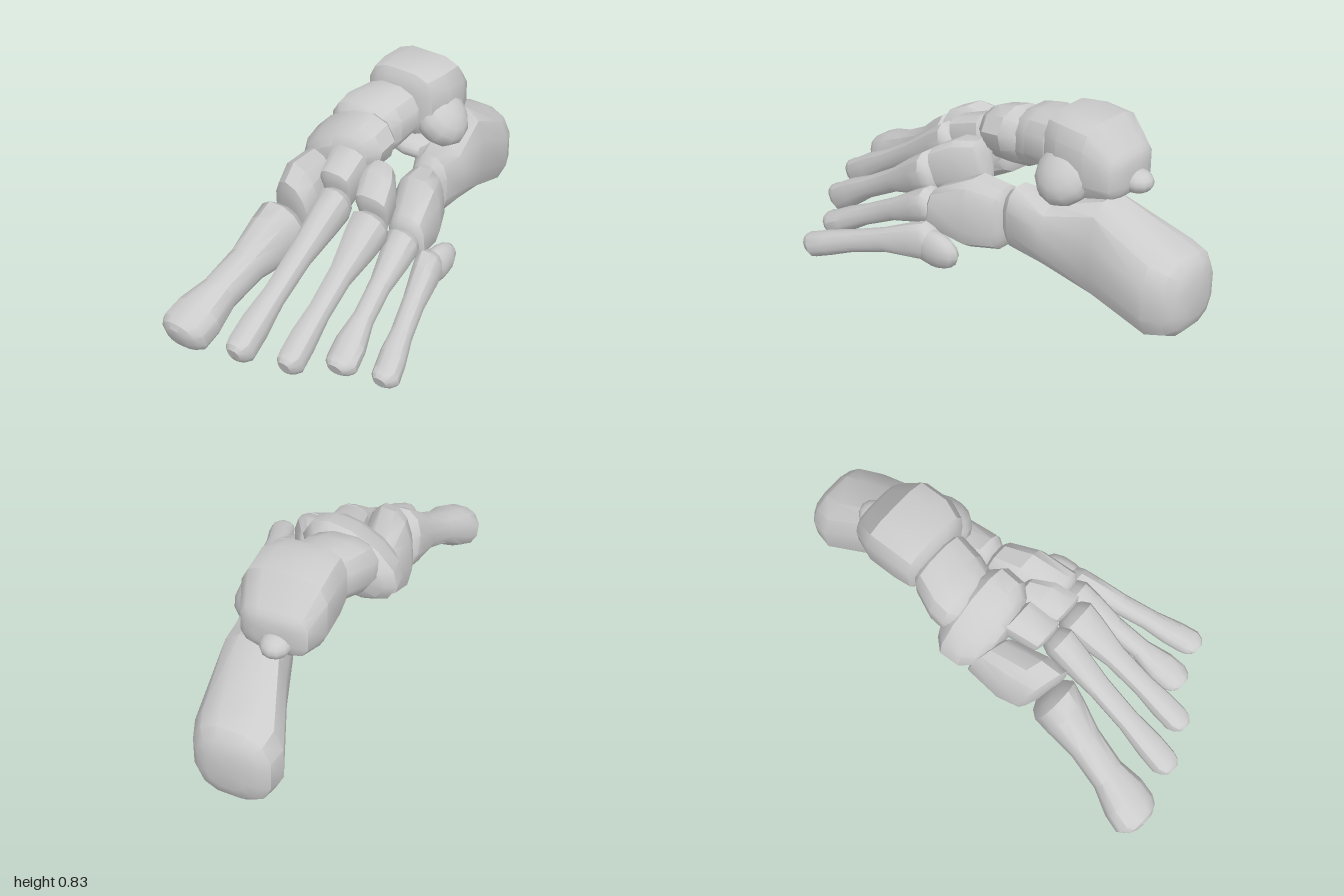
import * as THREE from 'three';
import { toCreasedNormals } from 'three/addons/utils/BufferGeometryUtils.js';

const material = new THREE.MeshStandardMaterial({ color: 0xcccccc });
const { lerp, smoothstep } = THREE.MathUtils;
const SIDES = 12;

// Lofts a bone through upright rings [x, y, z, halfWidth, halfHeight], ordered by rising z.
// round: length of the domed ends; square: 1 = ellipse, lower = boxier;
// taper: wider top; lean: top shifts forward; skew: +x side shifts forward; roll: ring tilt
function bone(name, rings, { round = 0.03, square = 0.8, taper = 0, lean = 0, skew = 0, roll = 0 } = {}) {
  const dome = ([x, y, z, w, h], dz, s) => [x, y, z + dz, w * s, h * s];
  const first = rings[0], end = rings.at(-1);
  const all = [
    dome(first, -round, 0.5), dome(first, -round * 0.65, 0.8), ...rings,
    dome(end, round * 0.65, 0.8), dome(end, round, 0.5),
  ];
  const pos = [], index = [], last = all.length - 1;
  const bend = (c) => Math.sign(c) * Math.abs(c) ** square;
  for (const [x, y, z, w, h] of all) {
    for (let i = 0; i < SIDES; i++) {
      const a = ((i + 0.5) / SIDES) * Math.PI * 2;
      const v = bend(Math.sin(a));
      const dx = bend(Math.cos(a)) * w * (1 + taper * v), dy = v * h;
      pos.push(
        x + dx * Math.cos(roll) - dy * Math.sin(roll),
        y + dx * Math.sin(roll) + dy * Math.cos(roll),
        z + lean * dy + skew * dx
      );
    }
  }
  for (let r = 0; r < last; r++) {
    for (let i = 0; i < SIDES; i++) {
      const a = r * SIDES + i, b = r * SIDES + ((i + 1) % SIDES);
      index.push(a, b, b + SIDES, a, b + SIDES, a + SIDES);
    }
  }
  // end caps
  const c0 = pos.length / 3;
  pos.push(...all[0].slice(0, 3), ...all[last].slice(0, 3));
  for (let i = 0; i < SIDES; i++) {
    const j = (i + 1) % SIDES;
    index.push(c0, j, i, c0 + 1, last * SIDES + i, last * SIDES + j);
  }
  const geo = new THREE.BufferGeometry();
  geo.setAttribute('position', new THREE.Float32BufferAttribute(pos, 3));
  geo.setIndex(index);
  const mesh = new THREE.Mesh(toCreasedNormals(geo, 0.6), material);
  mesh.name = name;
  return mesh;
}

// Long bone: a wide base narrows to a slim, slightly arched shaft, then swells to a head
function longBone(name, base, head, baseSize, shaft, headSize, taper = 0) {
  const rings = [0, 0.13, 0.38, 0.66, 0.86, 1].map((t) => {
    const [x, y, z] = base.map((b, k) => lerp(b, head[k], t));
    const size = [0, 1].map((k) => {
      const fromBase = lerp(baseSize[k], shaft, smoothstep(t, -0.05, 0.5));
      return lerp(fromBase, headSize[k], smoothstep(t, 0.6, 0.9));
    });
    return [x, y + 0.012 * Math.sin(Math.PI * t), z, ...size];
  });
  return bone(name, rings, { lean: 0.3, round: 0.05, square: 0.85, taper });
}

// Rounded knob for bony processes
function knob(name, position, size, tilt) {
  const mesh = new THREE.Mesh(new THREE.SphereGeometry(1, 12, 8), material);
  mesh.name = name;
  mesh.position.set(...position);
  mesh.scale.set(...size);
  mesh.rotation.z = tilt;
  return mesh;
}

export function createModel() {
  const foot = new THREE.Group();
  foot.name = 'footBones';

  // Heel and ankle
  foot.add(
    bone('heelBone', [
      [-0.155, 0.2, -0.95, 0.17, 0.175],
      [-0.145, 0.205, -0.87, 0.195, 0.2],
      [-0.08, 0.325, -0.62, 0.15, 0.225],
      [-0.02, 0.335, -0.4, 0.13, 0.14],
      [0.03, 0.37, -0.24, 0.09, 0.145],
    ], { square: 0.75, round: 0.05 }),
    knob('heelShelf', [-0.16, 0.44, -0.4], [0.13, 0.055, 0.1], -0.1),
    bone('ankleBody', [
      [-0.18, 0.625, -0.63, 0.145, 0.1],
      [-0.175, 0.665, -0.53, 0.185, 0.165],
      [-0.17, 0.675, -0.4, 0.185, 0.168],
      [-0.18, 0.68, -0.32, 0.165, 0.15],
    ], { square: 0.58 }),
    bone('ankleNeckAndHead', [
      [-0.2, 0.655, -0.28, 0.145, 0.12],
      [-0.225, 0.635, -0.17, 0.16, 0.13],
      [-0.235, 0.62, -0.1, 0.15, 0.125],
    ], { square: 0.8, round: 0.05 }),
    knob('ankleBackProcess', [-0.2, 0.585, -0.65], [0.065, 0.05, 0.075], 0),
    knob('ankleSideProcess', [-0.04, 0.6, -0.42], [0.145, 0.1, 0.13], -0.8)
  );

  // Midfoot
  const wedge = { lean: 0.25, taper: 0.2, square: 0.65, round: 0.015 };
  foot.add(
    bone('navicular', [
      [-0.24, 0.585, -0.06, 0.225, 0.135],
      [-0.235, 0.575, 0.03, 0.22, 0.125],
    ], { roll: 0.5, square: 0.9, round: 0.075 }),
    bone('cuboid', [
      [0.05, 0.35, -0.18, 0.095, 0.14],
      [0.085, 0.355, -0.06, 0.115, 0.16],
      [0.14, 0.34, 0.1, 0.09, 0.095],
    ], { square: 0.7, taper: -0.1 }),
    bone('innerCuneiform', [
      [-0.31, 0.475, 0.09, 0.1, 0.125],
      [-0.285, 0.45, 0.25, 0.12, 0.18],
      [-0.265, 0.425, 0.34, 0.11, 0.165],
    ], { lean: 0.2, skew: 0.25, taper: -0.1, round: 0.02, roll: -0.12 }),
    bone('middleCuneiform', [
      [-0.15, 0.56, 0.08, 0.08, 0.11],
      [-0.125, 0.525, 0.22, 0.07, 0.1],
    ], wedge),
    bone('outerCuneiform', [
      [-0.03, 0.51, 0.01, 0.055, 0.1],
      [0.0, 0.49, 0.09, 0.08, 0.115],
      [0.035, 0.45, 0.19, 0.075, 0.1],
    ], wedge)
  );

  // Five long bones, from the inner side to the outer side
  foot.add(
    longBone('firstLongBone', [-0.265, 0.39, 0.4], [-0.36, 0.15, 0.93], [0.108, 0.145], 0.073, [0.108, 0.092]),
    longBone('secondLongBone', [-0.092, 0.5, 0.27], [-0.11, 0.145, 0.88], [0.068, 0.09], 0.047, [0.06, 0.066], 0.1),
    longBone('thirdLongBone', [0.055, 0.42, 0.24], [0.077, 0.115, 0.8], [0.085, 0.095], 0.046, [0.056, 0.063], 0.1),
    longBone('fourthLongBone', [0.155, 0.335, 0.15], [0.225, 0.088, 0.67], [0.075, 0.075], 0.043, [0.07, 0.053]),
    longBone('fifthLongBone', [0.242, 0.22, 0.08], [0.4, 0.07, 0.615], [0.064, 0.082], 0.046, [0.06, 0.052]),
    knob('fifthLongBoneSpur', [0.25, 0.2, 0.04], [0.056, 0.08, 0.13], 0)
  );

  return foot;
}
